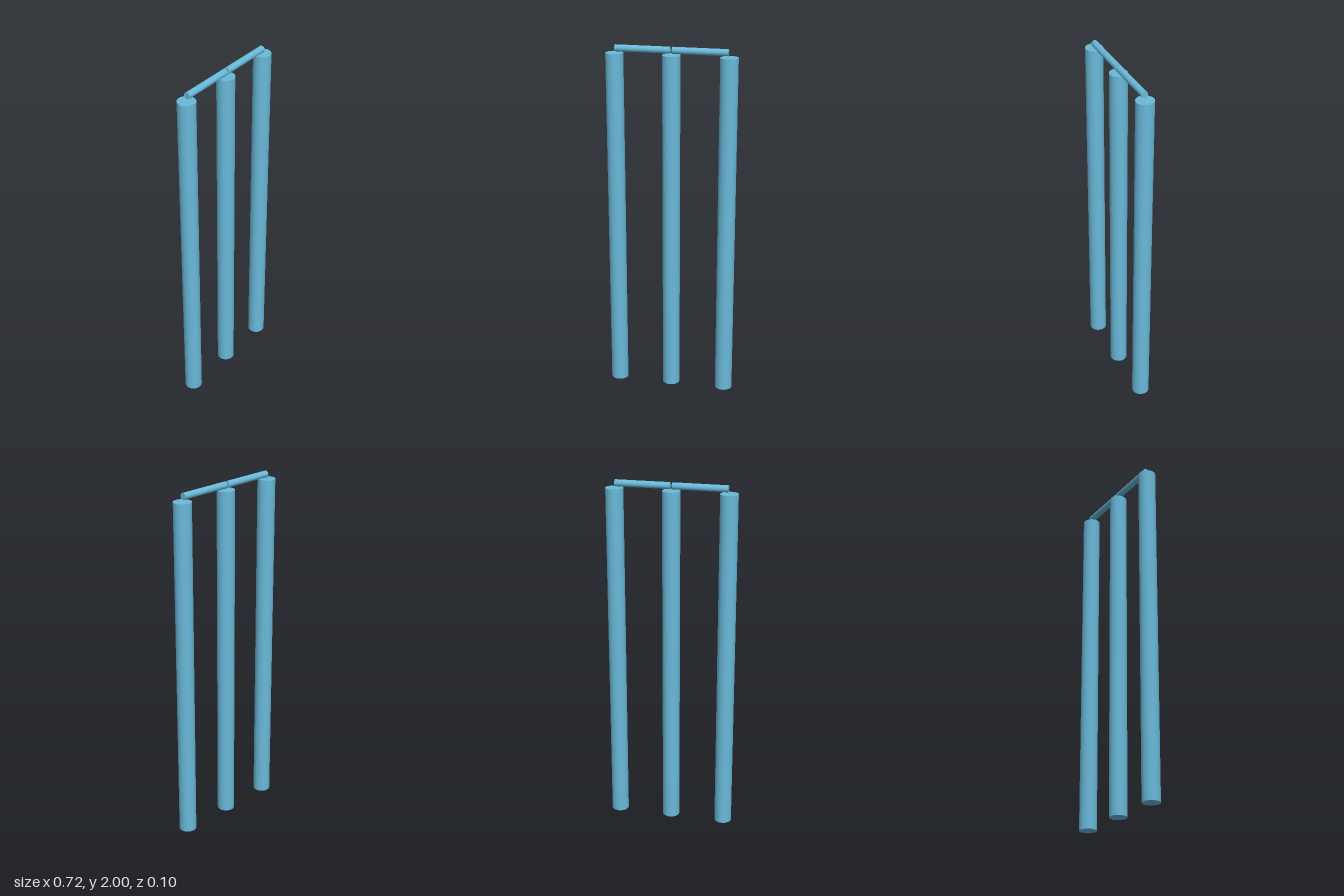
import * as THREE from 'three';

export function createModel() {
  const group = new THREE.Group();
  const blue = new THREE.MeshStandardMaterial({ color: 0x69b9d9 });
  blue.name = 'sky blue';

  const add = (name, radius, length, x, y) => {
    const mesh = new THREE.Mesh(new THREE.CylinderGeometry(radius, radius, length, 32), blue);
    mesh.name = name;
    mesh.position.set(x, y, 0);
    group.add(mesh);
    return mesh;
  };

  // Three upright stumps
  const stumpHeight = 1.955;
  [['rightStump', -0.313], ['middleStump', 0], ['leftStump', 0.313]].forEach(([name, x]) =>
    add(name, 0.049, stumpHeight, x, stumpHeight / 2));

  // Two bails lying end to end just above the stumps
  [['rightBail', -1], ['leftBail', 1]].forEach(([name, side]) => {
    add(name, 0.0185, 0.302, side * 0.157, 1.9815).rotation.z = Math.PI / 2;
  });

  return group;
}
